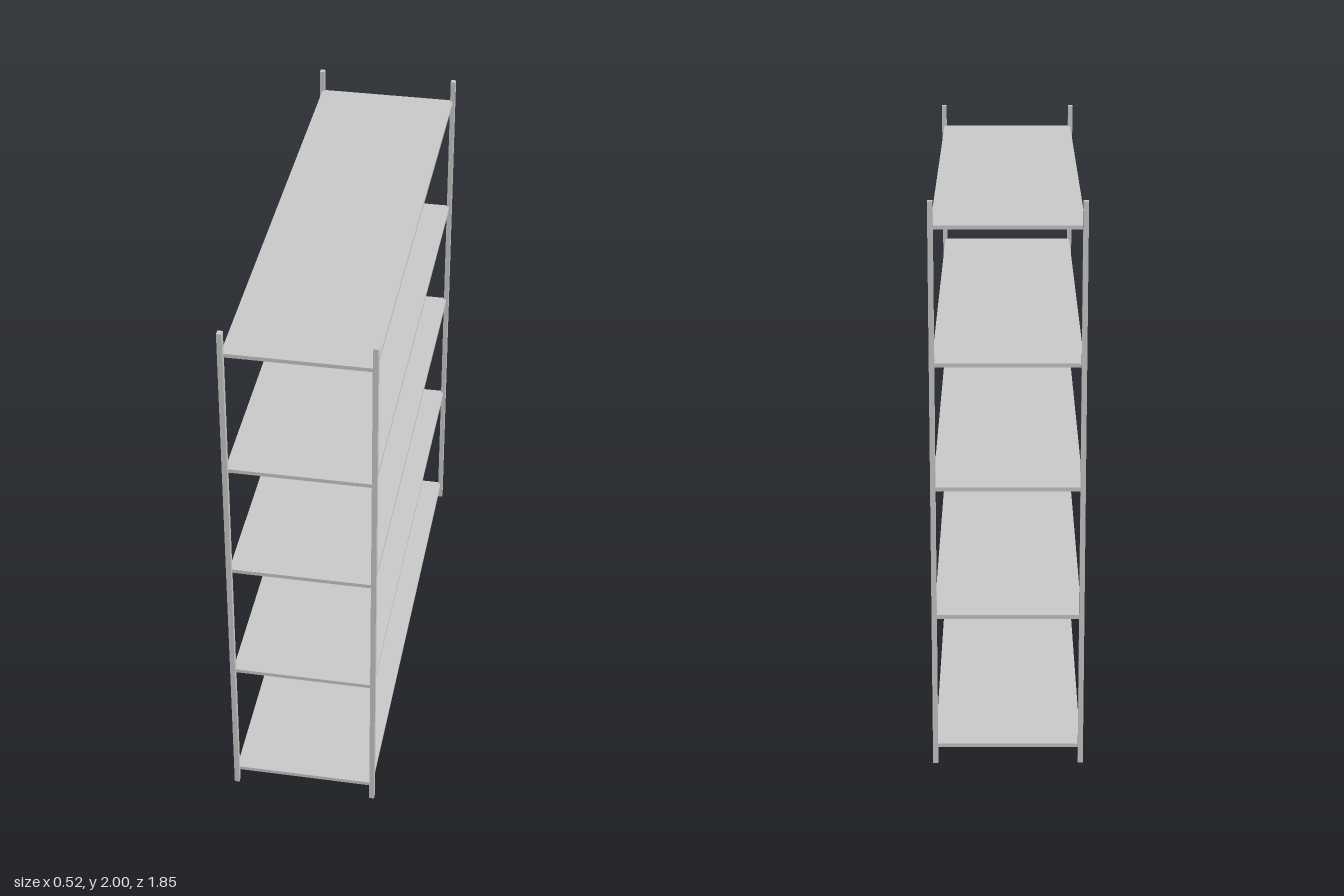
import * as THREE from 'three';

export function createModel() {
  const model = new THREE.Group();
  model.name = 'shelvingUnit';
  const material = new THREE.MeshStandardMaterial({ color: 0xcccccc });
  const halfWidth = 0.253, halfDepth = 0.913;

  const addBox = (name, size, position) => {
    const mesh = new THREE.Mesh(new THREE.BoxGeometry(...size), material);
    mesh.name = name;
    mesh.position.set(...position);
    model.add(mesh);
  };

  // Four corner posts
  for (const [side, x] of [['Left', 1], ['Right', -1]]) {
    for (const [end, z] of [['front', 1], ['back', -1]]) {
      addBox(`${end}${side}Post`, [0.018, 2, 0.021], [x * halfWidth, 1, z * halfDepth]);
    }
  }

  // Five shelves, their corners set into the posts
  [0.062, 0.547, 1.011, 1.446, 1.912].forEach((y, i) => {
    addBox(`shelf${i + 1}`, [halfWidth * 2, 0.014, halfDepth * 2], [0, y, 0]);
  });

  return model;
}
